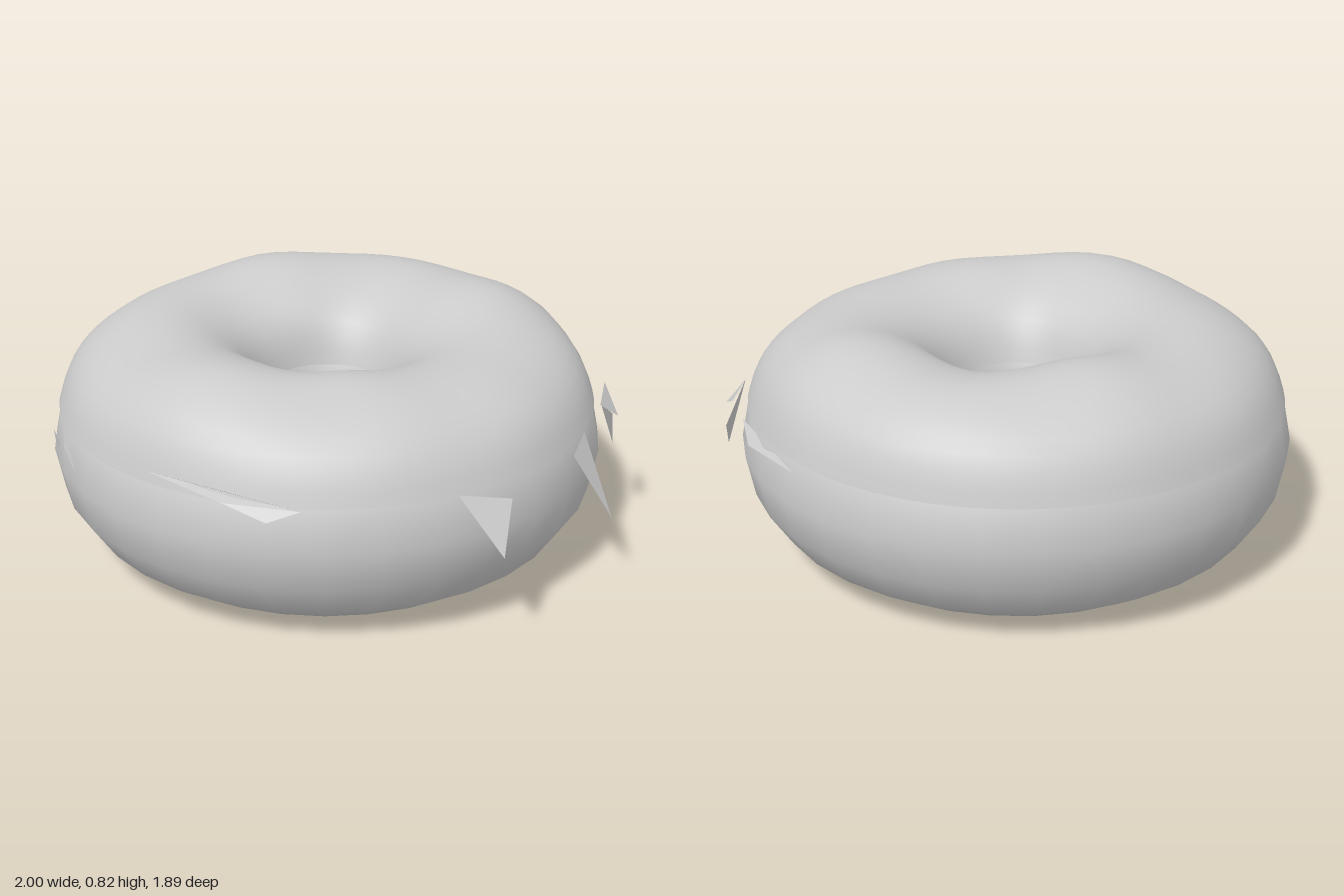
import * as THREE from 'three';
import { mergeVertices } from 'three/addons/utils/BufferGeometryUtils.js';

const RING = 0.57, TUBE = 0.375, CENTRE_X = -0.055, CENTRE_Y = 0.375;
const grey = new THREE.MeshStandardMaterial({ color: 0xcccccc });
const greyThin = new THREE.MeshStandardMaterial({ color: 0xcccccc, side: THREE.DoubleSide });

// Soft bumps and dents in the icing: x, z (from the ring's axis), height, spread
const BUMPS = [
  [-0.38, -0.42, 0.036, 0.16], [0.42, -0.44, 0.034, 0.15],
  [0.02, -0.78, 0.022, 0.25], [-0.15, 0.64, 0.030, 0.18],
  [0.25, 0.42, 0.014, 0.09], [-0.58, 0.22, 0.012, 0.15],
  [0.58, 0.02, -0.020, 0.16], [0.62, 0.38, -0.014, 0.16],
  [0.02, -0.52, -0.016, 0.11], [-0.48, 0.48, -0.012, 0.12],
  [-0.16, -0.20, 0.022, 0.12], [-0.10, 0.30, 0.014, 0.09],
];

function icingThickness(x, z) {
  let t = 0.024 + 0.004 * Math.sin(11 * x + 2) * Math.cos(10 * z);
  for (const [bx, bz, h, s] of BUMPS) {
    t += h * Math.exp(-((x - bx) ** 2 + (z - bz) ** 2) / (2 * s * s));
  }
  return t;
}

// Upper part of the ring, pushed outwards by the uneven thickness
function icingGeometry() {
  const start = Math.PI / 8, steps = 18, profile = [];
  for (let i = 0; i <= steps; i++) {
    const a = start + (Math.PI - 2 * start) * i / steps;
    profile.push(new THREE.Vector2(RING + TUBE * Math.cos(a), TUBE * Math.sin(a)));
  }
  let geo = new THREE.LatheGeometry(profile, 64);
  geo.deleteAttribute('uv');
  geo.deleteAttribute('normal');
  geo = mergeVertices(geo);
  const pos = geo.attributes.position;
  const p = new THREE.Vector3(), core = new THREE.Vector3();
  for (let i = 0; i < pos.count; i++) {
    p.fromBufferAttribute(pos, i);
    core.set(p.x, 0, p.z).setLength(RING);
    const rise = THREE.MathUtils.smoothstep(p.y / TUBE, Math.sin(start) - 0.05, 0.8);
    const t = 0.003 + icingThickness(p.x, p.z) * rise;
    p.addScaledVector(p.clone().sub(core).normalize(), t);
    pos.setXYZ(i, p.x, p.y, p.z);
  }
  geo.computeVertexNormals();
  return geo;
}

// Thin drip: a fan of triangles from its first corner
function drip(corners) {
  const geo = new THREE.BufferGeometry();
  const points = [];
  for (let i = 1; i < corners.length - 1; i++) {
    points.push(...corners[0], ...corners[i], ...corners[i + 1]);
  }
  geo.setAttribute('position', new THREE.Float32BufferAttribute(points, 3));
  geo.computeVertexNormals();
  const mesh = new THREE.Mesh(geo, greyThin);
  mesh.name = 'drip';
  return mesh;
}

export function createModel() {
  const model = new THREE.Group();
  model.name = 'icedRing';

  const dough = new THREE.Mesh(
    new THREE.TorusGeometry(RING, TUBE, 16, 32).rotateX(-Math.PI / 2), grey);
  dough.name = 'dough';
  dough.position.set(CENTRE_X, CENTRE_Y, 0);

  const icing = new THREE.Mesh(icingGeometry(), greyThin);
  icing.name = 'icing';
  icing.position.copy(dough.position);

  const drips = new THREE.Group();
  drips.name = 'drips';
  const shapes = [
    // long drips on the left side
    [[0.64, 0.52, 0.60], [0.805, 0.35, 0.63], [0.77, 0.47, 0.46]],
    [[0.87, 0.49, 0.13], [0.995, 0.26, 0.07], [0.87, 0.525, 0.01]],
    [[0.86, 0.525, -0.23], [0.88, 0.33, -0.35], [0.86, 0.42, -0.40]],
    [[0.86, 0.525, -0.22], [0.905, 0.46, -0.30], [0.82, 0.525, -0.42]],
    // short flat scraps at the front, the right and the back
    [[0.24, 0.52, 0.89], [0.15, 0.49, 0.945], [0.00, 0.53, 0.945], [-0.27, 0.57, 0.91], [0.00, 0.56, 0.925]],
    [[-0.85, 0.44, 0.51], [-0.82, 0.38, 0.54], [-0.77, 0.44, 0.60]],
    [[-0.74, 0.52, 0.62], [-0.72, 0.46, 0.66], [-0.62, 0.43, 0.76]],
    [[0.76, 0.49, -0.47], [0.68, 0.46, -0.60], [0.42, 0.50, -0.82]],
  ];
  shapes.forEach((corners) => drips.add(drip(corners)));

  model.add(dough, icing, drips);
  return model;
}
